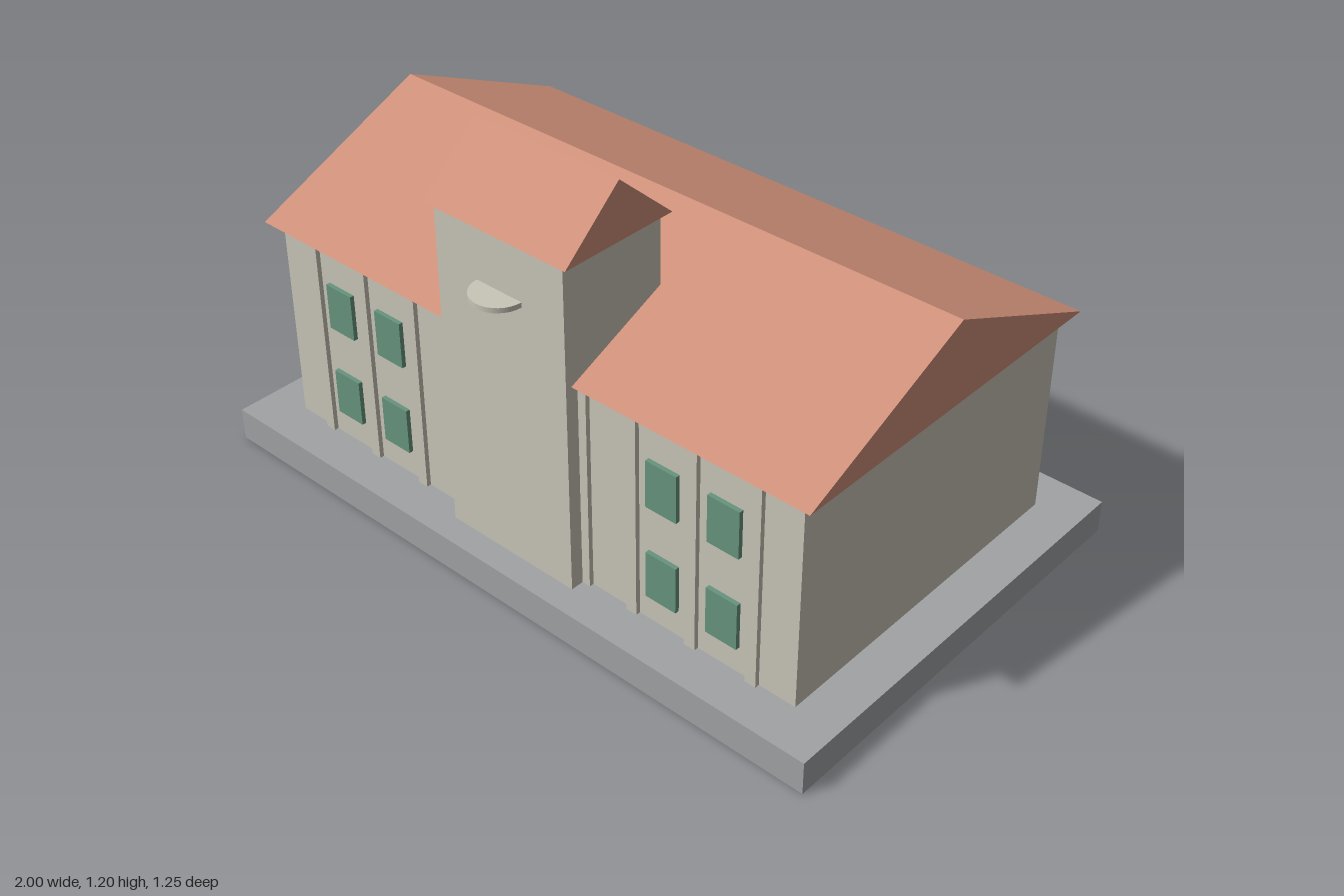
import * as THREE from 'three';

const material = (name, color) => {
  const m = new THREE.MeshStandardMaterial({ color });
  m.name = name;
  return m;
};

export function createModel() {
  const model = new THREE.Group();
  model.name = 'building';
  const stone = material('pale stone', 0xc9c5b8);
  const tile = material('terracotta tile', 0xcf917a);
  const concrete = material('grey concrete', 0xa2a3a5);
  const glass = material('green glass', 0x67957e);

  const add = (name, geometry, mat, x, y, z, parent = model) => {
    const mesh = new THREE.Mesh(geometry, mat);
    mesh.name = name;
    mesh.position.set(x, y, z);
    parent.add(mesh);
    return mesh;
  };

  // Box given by its centre in x and z and its bottom and top heights
  const block = (name, mat, w, d, y0, y1, x, z, parent) =>
    add(name, new THREE.BoxGeometry(w, y1 - y0, d), mat, x, (y0 + y1) / 2, z, parent);

  // Solid gable roof with its ridge along x
  const gable = (name, length, depth, height, y, z) => {
    const shape = new THREE.Shape();
    shape.moveTo(-depth / 2, 0);
    shape.lineTo(depth / 2, 0);
    shape.lineTo(0, height);
    shape.closePath();
    const geometry = new THREE.ExtrudeGeometry(shape, { depth: length, bevelEnabled: false });
    geometry.translate(0, 0, -length / 2).rotateY(Math.PI / 2);
    return add(name, geometry, tile, 0, y, z);
  };

  // Plinth, main hall and its roof
  const floor = 0.095, eaves = 0.697;
  block('plinth', concrete, 2, 1.25, 0, floor, 0, 0);
  block('mainHall', stone, 1.75, 1, floor, eaves, 0, 0);
  gable('mainRoof', 1.825, 1.066, 0.236, eaves, 0);

  // Front tower, its roof and the round ledge
  block('tower', stone, 0.42, 0.325, floor, 1.035, 0, 0.388);
  gable('towerRoof', 0.465, 0.357, 0.16, 1.035, 0.387);
  add('towerLedge', new THREE.CylinderGeometry(0.074, 0.074, 0.014, 32), stone, 0, 0.873, 0.551);

  // Pilasters and windows, mirrored on both long walls
  for (const front of [1, -1]) {
    const facade = new THREE.Group();
    facade.name = front > 0 ? 'frontFacade' : 'backFacade';
    model.add(facade);
    const z = front * 0.5;
    for (const side of [1, -1]) {
      for (const x of [0.219, 0.375, 0.562, 0.75]) {
        block('pilaster', stone, 0.032, 0.026, floor, eaves, side * x, z, facade);
      }
      for (const x of [0.469, 0.657]) {
        for (const y of [0.174, 0.446]) {
          block('window', glass, 0.095, 0.025, y, y + 0.135, side * x, z, facade);
        }
      }
    }
  }
  return model;
}
